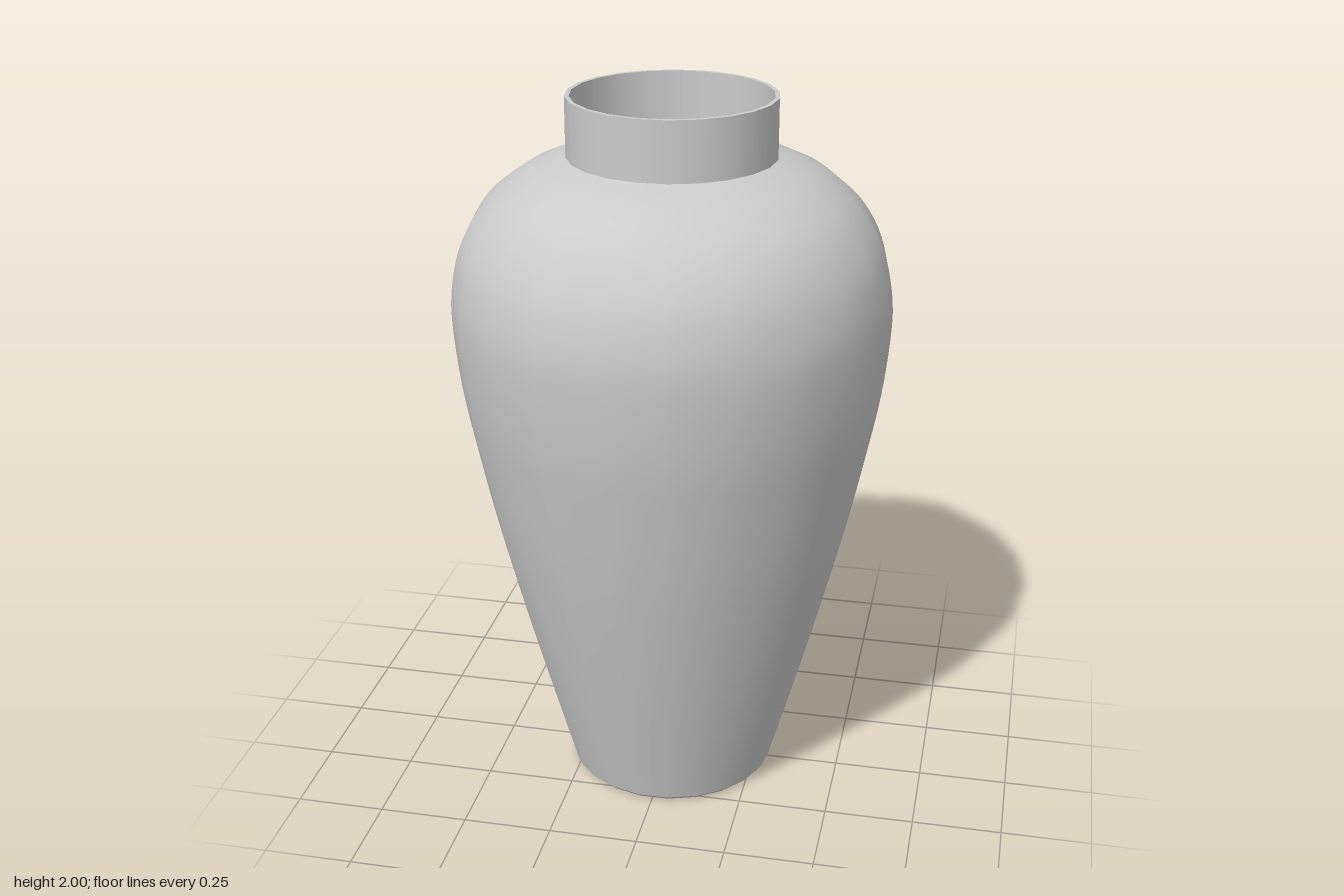
import * as THREE from 'three';

const SIDES = 22;
const TURN = THREE.MathUtils.degToRad(91);
const WALL = 0.012;

export function createModel() {
  const vase = new THREE.Group();
  vase.name = 'vase';
  const material = new THREE.MeshStandardMaterial({ color: 0xcccccc });

  // Each part is its own lathe, so the edges between parts stay sharp.
  // Profiles running upwards face outwards; downwards face inwards.
  function addLathe(name, points) {
    const geometry = new THREE.LatheGeometry(points, SIDES, TURN);
    const mesh = new THREE.Mesh(geometry, material);
    mesh.name = name;
    vase.add(mesh);
  }
  const profile = (pairs) => pairs.map(([r, y]) => new THREE.Vector2(r, y));

  // Body: narrow foot, tall swelling belly, rounded shoulder
  const body = new THREE.SplineCurve(profile([
    [0.296, 0.012], [0.348, 0.2], [0.402, 0.4], [0.453, 0.6], [0.501, 0.8],
    [0.543, 1.0], [0.58, 1.2], [0.599, 1.4], [0.59, 1.52], [0.561, 1.62],
    [0.505, 1.71], [0.43, 1.775], [0.36, 1.812], [0.282, 1.838],
  ])).getPoints(52);
  addLathe('body', body);

  // Foot: tiny bevel and flat underside
  addLathe('footBevel', profile([[0.284, 0], [0.296, 0.012]]));
  addLathe('underside', profile([[0, 0], [0.284, 0]]));

  // Neck: straight collar with a flat rim
  addLathe('neck', profile([[0.282, 1.838], [0.282, 2]]));
  addLathe('rim', profile([[0.282, 2], [0.27, 2]]));
  addLathe('neckInside', profile([[0.27, 2], [0.27, 1.826]]));

  // Hollow inside: the body profile offset by the wall thickness
  const inside = body.map((p, i) => {
    const a = body[Math.max(i - 1, 0)];
    const b = body[Math.min(i + 1, body.length - 1)];
    const t = b.clone().sub(a).normalize();
    return new THREE.Vector2(p.x - t.y * WALL, p.y + t.x * WALL);
  });
  inside[0].set(0.284, 0.015);
  inside[inside.length - 1].set(0.27, 1.826);
  addLathe('bodyInside', inside.reverse());
  addLathe('floor', profile([[0.284, 0.015], [0, 0.015]]));

  return vase;
}
